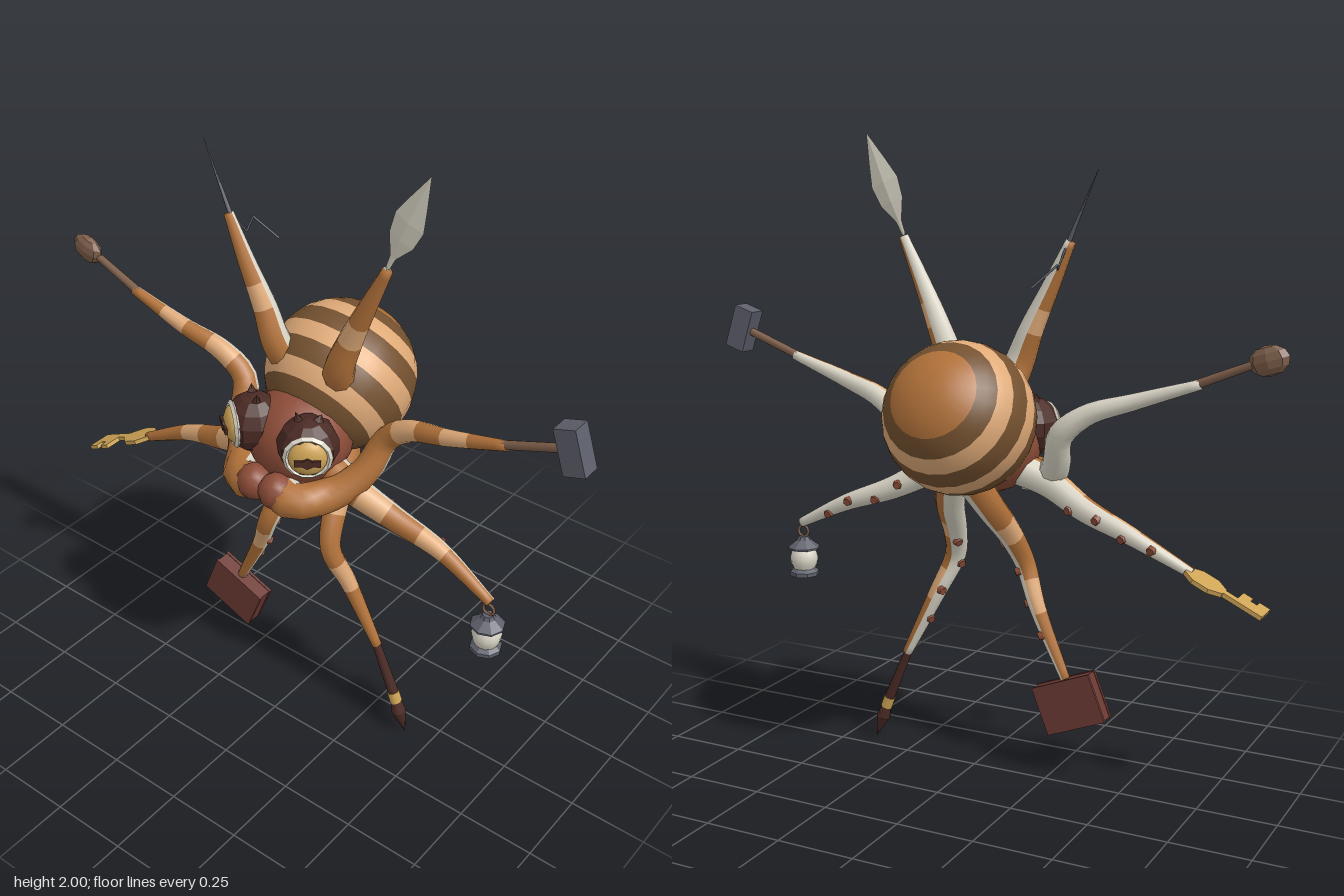
import * as THREE from 'three';

const mat = (name, color) => Object.assign(new THREE.MeshStandardMaterial({ color }), { name });
const M = {
  skin: mat('orange skin', 0xb2723a), pale: mat('peach band', 0xdfaa78), stripe: mat('brown stripe', 0x74512f),
  cream: mat('cream', 0xdad5c6), red: mat('red brown flesh', 0x8c4c38), dark: mat('dark brown', 0x4a2a24),
  maroon: mat('maroon cover', 0x6e3b35), grey: mat('steel grey', 0x5d5f6b), gold: mat('gold', 0xcfa557), wood: mat('wood', 0x7d5e4a),
};
const V = (x, y, z) => new THREE.Vector3(x, y, z);
const Y = V(0, 1, 0);

function add(parent, name, geo, material, x = 0, y = 0, z = 0) {
  const m = new THREE.Mesh(geo, material);
  m.name = name;
  m.position.set(x, y, z);
  parent.add(m);
  return m;
}
function flat(geo) {
  const g = geo.index ? geo.toNonIndexed() : geo;
  g.computeVertexNormals();
  return g;
}
const ball = (r, w = 12, h = 8) => new THREE.SphereGeometry(r, w, h);
const lathe = (pts, n) => new THREE.LatheGeometry(pts.map(p => new THREE.Vector2(...p)), n);

// tapered rod from a to b
function rod(parent, name, a, b, r0, r1, material, n = 8) {
  const d = b.clone().sub(a), c = a.clone().add(b).multiplyScalar(0.5);
  const m = add(parent, name, new THREE.CylinderGeometry(r1, r0, d.length(), n), material, c.x, c.y, c.z);
  m.quaternion.setFromUnitVectors(Y, d.normalize());
  return m;
}

// tentacle with peach bands, a cream underside (inward and back, 2 * half + 1 facets wide) and optional suckers
function arm(parent, name, pts, side, { bands, inward, back, half = 1, suckers = false, r0 = 0.052, r1 = 0.016 }) {
  const P = pts.map(p => V(p[0] * side, p[1], p[2]));
  const curve = new THREE.CatmullRomCurve3(P, false, 'centripetal');
  const d = P[P.length - 1].clone().sub(P[0]).setZ(0).normalize();
  const under = V(d.y * side * inward, -d.x * side * inward, -back);
  const N = 28, K = 10, pos = [], idx = [[], [], []], g = new THREE.Group();
  g.name = name;
  const frame = t => {
    const c = curve.getPointAt(t), T = curve.getTangentAt(t);
    const top = under.clone().addScaledVector(T, -under.dot(T)).normalize().negate();
    return { c, top, side: T.clone().cross(top), r: r0 + (r1 - r0) * t };
  };
  for (let i = 0; i <= N + 1; i++) {
    const f = frame(Math.min(i / N, 1));
    const r = i > N ? 0 : f.r;
    for (let j = 0; j < K; j++) {
      const a = (j + 0.5) / K * Math.PI * 2;
      const v = f.c.clone().addScaledVector(f.top, r * Math.cos(a)).addScaledVector(f.side, r * Math.sin(a));
      pos.push(v.x, v.y, v.z);
    }
  }
  for (let i = 0; i <= N; i++) for (let j = 0; j < K; j++) {
    const k = (j + 1) % K, a = i * K + j, b = i * K + k, c = a + K, e = b + K, t = (i + 0.5) / N;
    const slot = Math.abs(j - 4) <= half ? 2 : bands.some(([lo, hi]) => t > lo && t < hi) ? 1 : 0;
    idx[slot].push(a, b, e, a, e, c);
  }
  const geo = new THREE.BufferGeometry();
  geo.setAttribute('position', new THREE.Float32BufferAttribute(pos, 3));
  geo.setIndex(idx.flat());
  let start = 0;
  idx.forEach((list, i) => { geo.addGroup(start, list.length, i); start += list.length; });
  geo.computeVertexNormals();
  add(g, name + 'Skin', geo, [M.skin, M.pale, M.cream]);
  if (suckers) for (let i = 0; i < 4; i++) {
    const f = frame(0.38 + i * 0.14), r = f.r * 0.95;
    const p = f.c.clone().addScaledVector(f.top, -r).addScaledVector(f.side, (i % 2 ? 1 : -1) * r * 0.3);
    const m = add(g, 'sucker', new THREE.CylinderGeometry(0.013, 0.017, 0.016, 6), M.red, p.x, p.y, p.z);
    m.quaternion.setFromUnitVectors(Y, f.top.clone().negate());
  }
  parent.add(g);
}

function eye(parent, s) {
  const g = new THREE.Group();
  g.name = s > 0 ? 'leftEye' : 'rightEye';
  g.position.set(0.102 * s, 1.09, 0.19);
  g.rotation.y = s * 0.65;
  add(g, 'socket', flat(ball(0.095, 10, 7)), M.dark);
  add(g, 'eyelidRing', flat(new THREE.TorusGeometry(0.065, 0.01, 4, 14)), M.cream, 0, 0, 0.066);
  add(g, 'iris', ball(0.06, 16, 10), M.gold, 0, 0, 0.064).scale.z = 0.55;
  add(g, 'pupil', new THREE.BoxGeometry(0.078, 0.02, 0.008), M.dark, 0, 0, 0.097);
  add(g, 'pupilCentre', new THREE.CylinderGeometry(0.018, 0.018, 0.008, 6), M.dark, 0, 0, 0.098).rotation.x = Math.PI / 2;
  for (const [x, h, tilt] of [[-0.03 * s, 0.045, 0.3 * s], [0.035 * s, 0.03, -0.4 * s]])
    add(g, 'browSpike', new THREE.ConeGeometry(0.02, h, 5), M.dark, x, 0.095, 0).rotation.z = tilt;
  parent.add(g);
}

function lantern(parent) {
  const g = new THREE.Group();
  g.name = 'lantern';
  g.position.set(0.685, 0, 0.07);
  add(g, 'lanternRing', new THREE.TorusGeometry(0.019, 0.005, 6, 12), M.wood, 0, 0.683, 0);
  add(g, 'lanternRoof', flat(lathe([[0, 0.618], [0.054, 0.622], [0.054, 0.628], [0.024, 0.652], [0.018, 0.664], [0, 0.666]], 8)), M.grey);
  add(g, 'lanternGlass', lathe([[0.034, 0.55], [0.044, 0.57], [0.047, 0.59], [0.042, 0.61], [0.032, 0.625]], 12), M.cream);
  add(g, 'lanternBase', flat(lathe([[0, 0.53], [0.05, 0.53], [0.05, 0.543], [0.034, 0.556], [0, 0.558]], 8)), M.grey);
  parent.add(g);
}

function key(parent) {
  const bow = new THREE.Shape(Array.from({ length: 8 }, (_, i) => {
    const a = (i + 0.5) * Math.PI / 4;
    return new THREE.Vector2(-0.065 + 0.07 * Math.cos(a), 0.056 * Math.sin(a));
  }));
  const bit = new THREE.Shape([[-0.1, -0.014], [-0.1, 0.014], [-0.17, 0.014], [-0.17, 0.072], [-0.203, 0.072], [-0.203, 0.045],
    [-0.225, 0.045], [-0.225, 0.072], [-0.262, 0.072], [-0.262, -0.014]].map(p => new THREE.Vector2(...p)));
  const geo = new THREE.ExtrudeGeometry([bow, bit], { depth: 0.014, bevelEnabled: false });
  geo.translate(0, 0, -0.007).rotateX(Math.PI / 2);
  add(parent, 'key', geo, M.gold, -0.675, 0.72, 0.065).rotation.z = 0.445;
}

export function createModel() {
  const g = new THREE.Group();
  g.name = 'octopus';

  // striped mantle, its pole pointing up and back
  const mantle = new THREE.Group();
  mantle.name = 'mantle';
  mantle.position.set(0, 1.152, -0.1);
  mantle.rotation.x = -Math.PI / 3;
  const edges = [0, 36, 52, 66, 82, 96, 112, 126, 142, 180];
  const cols = [M.skin, M.stripe, M.pale, M.stripe, M.pale, M.stripe, M.pale, M.stripe, M.skin];
  cols.forEach((c, i) => add(mantle, 'mantleBand', new THREE.SphereGeometry(0.236, 24, i % 8 ? 1 : 3, 0, Math.PI * 2,
    THREE.MathUtils.degToRad(edges[i]), THREE.MathUtils.degToRad(edges[i + 1] - edges[i])), c));
  g.add(mantle);

  // face and mouth
  add(g, 'face', ball(1, 16, 12), M.red, 0, 1.04, 0.1).scale.set(0.165, 0.155, 0.165);
  for (const s of [1, -1]) {
    add(g, 'mouthLobe', ball(0.058, 10, 8), M.red, 0.042 * s, 0.938, 0.268);
    eye(g, s);
    const n = s > 0 ? 'left' : 'right';
    arm(g, n + 'TopArm', [[0.08, 1.18, -0.01], [0.115, 1.29, 0.06], [0.16, 1.41, 0.065], [0.22, 1.54, 0.07], [0.285, 1.68, 0.07]], s,
      { bands: [[0.46, 0.62]], inward: -0.7, back: 0.7, r0: 0.058 });
    arm(g, n + 'UpperArm', [[0.06, 0.925, 0.255], [0.1, 0.92, 0.258], [0.175, 0.93, 0.165], [0.24, 1.0, 0.085], [0.275, 1.1, 0.035],
      [0.36, 1.168, 0.04], [0.5, 1.215, 0.06], [0.7, 1.28, 0.07]], s, { bands: [[0.54, 0.64], [0.76, 0.86]], inward: 0.25, back: 1, half: 2, r0: 0.06 });
    arm(g, n + 'LowerArm', [[0.08, 0.98, 0.1], [0.2, 0.935, 0.11], [0.34, 0.865, 0.08], [0.5, 0.805, 0.06], [0.69, 0.712, 0.07]], s,
      { bands: [[0.26, 0.38], [0.58, 0.72]], inward: 0.25, back: 1, half: 2, suckers: true, r0: 0.056 });
    arm(g, n + 'BottomArm', [[0.03, 0.97, -0.09], [0.07, 0.87, -0.03], [0.1, 0.76, 0.06], [0.125, 0.66, 0.11], [0.18, 0.53, 0.085], [0.285, 0.315, 0.07]], s,
      { bands: [[0.24, 0.36], [0.58, 0.72]], inward: 0.85, back: 0.52, suckers: true });
  }

  // needle with its thread
  rod(g, 'needle', V(-0.275, 1.67, 0.07), V(-0.37, 1.89, 0.07), 0.008, 0.001, M.grey, 6);
  const thread = [V(-0.275, 1.66, 0.055), V(-0.27, 1.6, 0.01), V(-0.295, 1.617, -0.05), V(-0.23, 1.55, -0.09)];
  for (let i = 0; i < 3; i++) rod(g, 'thread', thread[i], thread[i + 1], 0.0035, 0.0035, M.grey, 5);

  // quill feather
  const feather = lathe([[0, 0], [0.007, 0.01], [0.01, 0.05], [0.042, 0.115], [0.05, 0.18], [0.03, 0.25], [0, 0.345]], 4);
  add(g, 'quill', flat(feather.scale(1, 1, 0.16)), M.cream, 0.282, 1.68, 0.07).rotation.z = -0.4;

  // hammer and spoon
  rod(g, 'hammerHandle', V(0.67, 1.272, 0.07), V(0.89, 1.355, 0.07), 0.014, 0.014, M.wood);
  add(g, 'hammerHead', new THREE.BoxGeometry(0.07, 0.142, 0.062), M.grey, 0.904, 1.36, 0.07).rotation.z = 0.32;
  rod(g, 'spoonHandle', V(-0.67, 1.272, 0.07), V(-0.86, 1.35, 0.07), 0.014, 0.012, M.wood);
  const bowl = add(g, 'spoonBowl', flat(ball(1, 8, 6)), M.wood, -0.9, 1.362, 0.07);
  bowl.scale.set(0.062, 0.045, 0.026);
  bowl.rotation.z = -0.3;

  lantern(g);
  key(g);

  // book
  const book = new THREE.Group();
  book.name = 'book';
  book.position.set(-0.307, 0.24, 0.07);
  book.rotation.z = -0.38;
  for (const s of [1, -1]) add(book, 'bookCover', new THREE.BoxGeometry(0.205, 0.158, 0.01), M.maroon, 0, 0, 0.025 * s);
  add(book, 'bookBlock', new THREE.BoxGeometry(0.2, 0.153, 0.042), M.maroon);
  g.add(book);

  // paintbrush
  rod(g, 'brushHandle', V(0.27, 0.345, 0.07), V(0.358, 0.14, 0.07), 0.013, 0.018, M.dark);
  rod(g, 'brushFerrule', V(0.354, 0.148, 0.07), V(0.368, 0.112, 0.07), 0.02, 0.02, M.gold);
  rod(g, 'brushBristles', V(0.367, 0.115, 0.07), V(0.38, 0.075, 0.07), 0.017, 0.024, M.dark);
  rod(g, 'brushTip', V(0.38, 0.075, 0.07), V(0.407, 0.002, 0.07), 0.024, 0.001, M.dark);
  return g;
}
